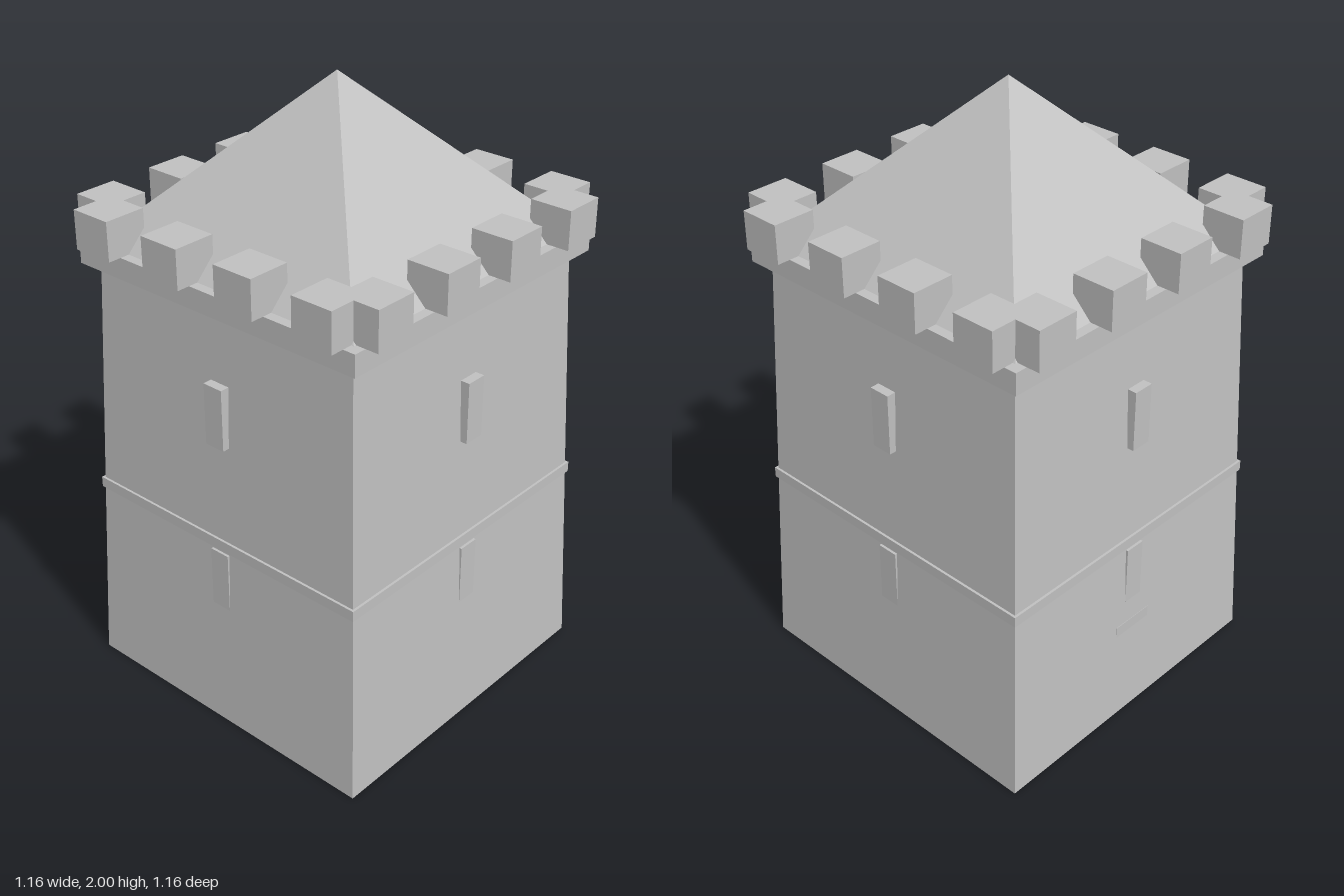
import * as THREE from 'three';

export function createModel() {
  const tower = new THREE.Group();
  tower.name = 'watchtower';
  const stone = new THREE.MeshStandardMaterial({ color: 0xbfbfbf, flatShading: true });
  stone.name = 'grey stone';

  const add = (name, geometry, parent = tower) => {
    const mesh = new THREE.Mesh(geometry, stone);
    mesh.name = name;
    parent.add(mesh);
    return mesh;
  };
  // Box given by its x, y and z ranges
  const block = (name, x0, x1, y0, y1, z0, z1, parent) =>
    add(name, new THREE.BoxGeometry(x1 - x0, y1 - y0, z1 - z0), parent)
      .position.set((x0 + x1) / 2, (y0 + y1) / 2, (z0 + z1) / 2);
  // Square frustum given by its half widths and heights
  const frustum = (name, top, bottom, y0, y1) => {
    const g = new THREE.CylinderGeometry(top * Math.SQRT2, bottom * Math.SQRT2, y1 - y0, 4);
    g.rotateY(Math.PI / 4);
    add(name, g).position.y = (y0 + y1) / 2;
  };

  // Tapered walls, string course, cornice and pyramid roof
  frustum('walls', 0.495, 0.55, 0, 1.43);
  block('stringCourse', -0.532, 0.532, 0.64, 0.675, -0.532, 0.532);
  block('cornice', -0.537, 0.537, 1.425, 1.495, -0.537, 0.537);
  frustum('roof', 0, 0.51, 1.49, 2);

  // Each side carries two window slabs and a row of merlons
  ['front', 'left', 'back', 'right'].forEach((name, i) => {
    const side = new THREE.Group();
    side.name = name + 'Side';
    side.rotation.y = i * Math.PI / 2;
    block('upperWindow', -0.035, 0.035, 1.0, 1.2, 0.46, 0.534, side);
    block('lowerWindow', -0.035, 0.035, 0.43, 0.63, 0.46, 0.534, side);
    for (const x of [-0.426, -0.142, 0.142, 0.426])
      block('merlon', x - 0.07, x + 0.07, 1.495, 1.62, 0.44, 0.58, side);
    tower.add(side);
  });

  // Door slab almost flush with the back wall
  block('door', -0.075, 0.075, 0.02, 0.35, -0.538, -0.48);

  return tower;
}
